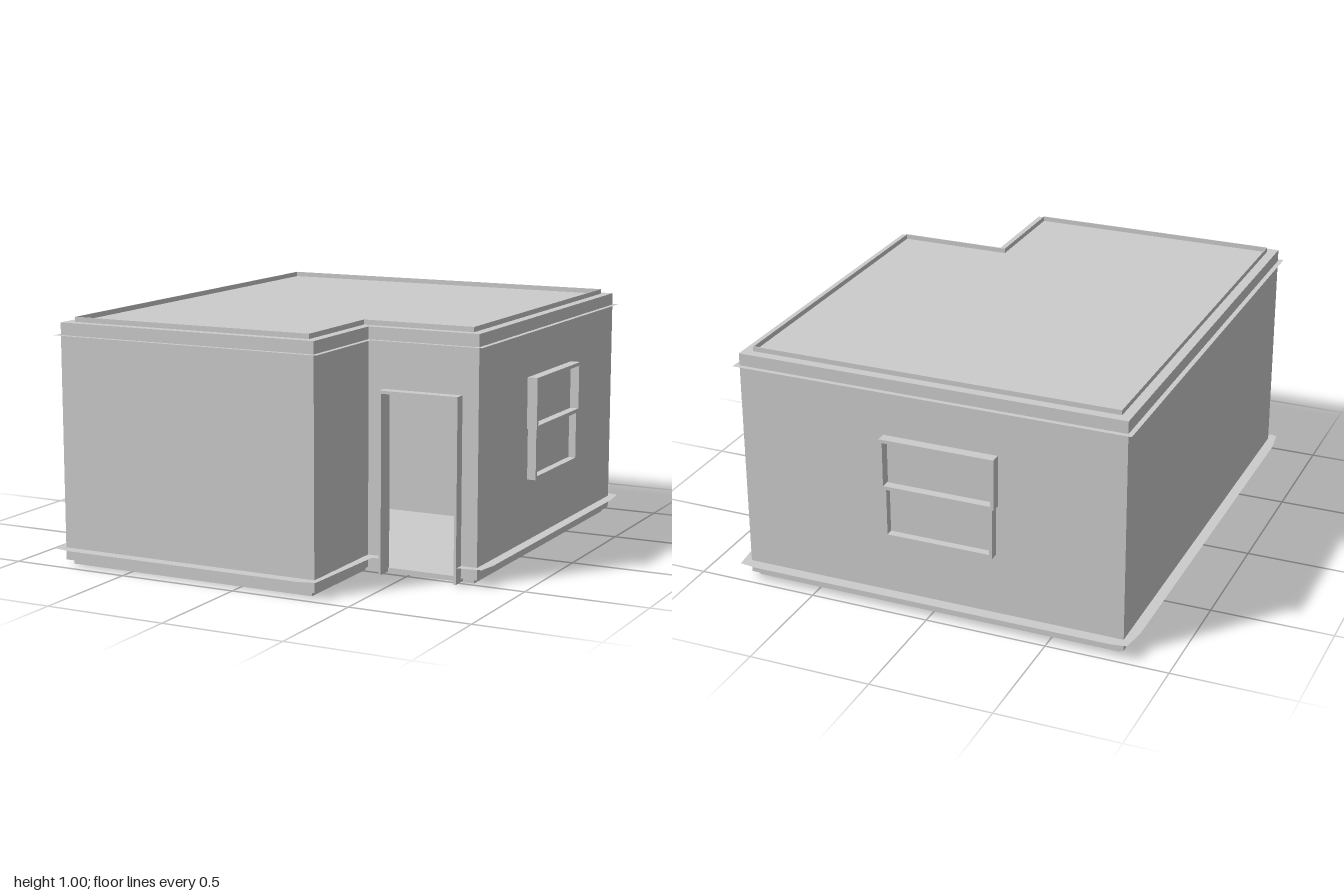
import * as THREE from 'three';

const material = new THREE.MeshStandardMaterial({ color: 0xcccccc, flatShading: true });
const thin = new THREE.MeshStandardMaterial({ color: 0xcccccc, flatShading: true, side: THREE.DoubleSide });

// Plan outline grown by d, as [x, z], from one side of the doorway round to the other
const plan = (d) => [
  [0.725, 0.5 + d], [0.8 + d, 0.5 + d], [0.8 + d, -0.95 - d], [-0.8 - d, -0.95 - d],
  [-0.8 - d, 0.95 + d], [0.33 + d, 0.95 + d], [0.33 + d, 0.5 + d], [0.405, 0.5 + d],
];
const toPoints = (list) => list.map(([x, z]) => new THREE.Vector2(x, -z));

// Closed slab, with an optional hole
function slab(outer, hole, y, height) {
  const shape = new THREE.Shape(toPoints(outer));
  if (hole) shape.holes.push(new THREE.Path(toPoints(hole)));
  return new THREE.ExtrudeGeometry(shape, { depth: height, bevelEnabled: false })
    .rotateX(-Math.PI / 2).translate(0, y, 0);
}

// Strip between two outlines, left open at the doorway
const openStrip = (outer, inner) => [...outer, ...inner.slice().reverse()];

function flat(outline, hole, y) {
  const shape = new THREE.Shape(toPoints(outline));
  if (hole) shape.holes.push(new THREE.Path(toPoints(hole)));
  return new THREE.ShapeGeometry(shape).rotateX(-Math.PI / 2).translate(0, y, 0);
}

function add(parent, name, geometry, mat = material) {
  const mesh = new THREE.Mesh(geometry, mat);
  mesh.name = name;
  parent.add(mesh);
  return mesh;
}

// Box given by its limits
function box(x0, x1, y0, y1, z0, z1) {
  return new THREE.BoxGeometry(x1 - x0, y1 - y0, z1 - z0)
    .translate((x0 + x1) / 2, (y0 + y1) / 2, (z0 + z1) / 2);
}

// Hollow rectangular frame standing out of a wall towards +z
function frame(w, y0, y1, t, depth) {
  const h = w / 2;
  const shape = new THREE.Shape(toPoints([[-h, -y0], [h, -y0], [h, -y1], [-h, -y1]]));
  shape.holes.push(new THREE.Path(toPoints(
    [[-h + t, -y0 - t], [h - t, -y0 - t], [h - t, -y1 + t], [-h + t, -y1 + t]])));
  return new THREE.ExtrudeGeometry(shape, { depth, bevelEnabled: false });
}

function sashWindow(name) {
  const g = new THREE.Group();
  g.name = name;
  add(g, 'upperSash', frame(0.475, 0.535, 0.745, 0.014, 0.043));
  add(g, 'lowerSash', frame(0.455, 0.325, 0.545, 0.014, 0.037));
  add(g, 'glass', box(-0.22, 0.22, 0.34, 0.73, 0, 0.006));
  return g;
}

export function createModel() {
  const house = new THREE.Group();
  house.name = 'house';

  // Base, walls and roof
  add(house, 'base', slab(plan(-0.022), null, 0, 0.02));
  add(house, 'walls', slab(openStrip(plan(0), plan(-0.03)), null, 0.02, 0.94));
  add(house, 'lintel', box(0.405, 0.725, 0.73, 0.96, 0.47, 0.5));
  add(house, 'roof', slab(plan(0), null, 0.96, 0.02));
  add(house, 'parapet', slab(plan(-0.04), plan(-0.044), 0.98, 0.02));

  // Thin ledges; the lower one has eased corners and stops at the doorway
  const lowerEdge = [
    [0.725, 0.542], [0.83, 0.525], [0.843, 0.44], [0.843, -0.87], [0.828, -0.99], [0.76, -1],
    [-0.76, -1], [-0.828, -0.99], [-0.843, -0.87], [-0.843, 0.87], [-0.828, 0.985], [-0.76, 1],
    [0.28, 1], [0.352, 0.982], [0.368, 0.542], [0.405, 0.542],
  ];
  add(house, 'lowerLedge', flat(openStrip(lowerEdge, plan(0)), null, 0.07), thin);
  add(house, 'upperLedge', flat(plan(0.02), plan(0), 0.93), thin);

  // Open doorway with a slim frame
  const door = new THREE.Group();
  door.name = 'doorFrame';
  house.add(door);
  for (const [x0, x1] of [[0.398, 0.408], [0.722, 0.732]]) {
    add(door, 'jamb', box(x0, x1, 0.005, 0.74, 0.47, 0.546));
  }
  add(door, 'head', box(0.398, 0.732, 0.728, 0.74, 0.47, 0.546));

  // Windows on the right-hand and back walls
  const sideWindow = sashWindow('sideWindow');
  sideWindow.position.set(0.8, 0, -0.222);
  sideWindow.rotation.y = Math.PI / 2;
  const backWindow = sashWindow('backWindow');
  backWindow.position.set(-0.05, 0, -0.95);
  backWindow.rotation.y = Math.PI;
  house.add(sideWindow, backWindow);

  // Inside: partition wall and an eight-sided bin
  add(house, 'partition', box(-0.77, 0.77, 0.02, 0.96, -0.49, -0.46));
  const bin = add(house, 'bin', new THREE.CylinderGeometry(0.088, 0.073, 0.195, 8, 1, true), thin);
  bin.position.set(0.65, 0.1185, -0.34);

  return house;
}
